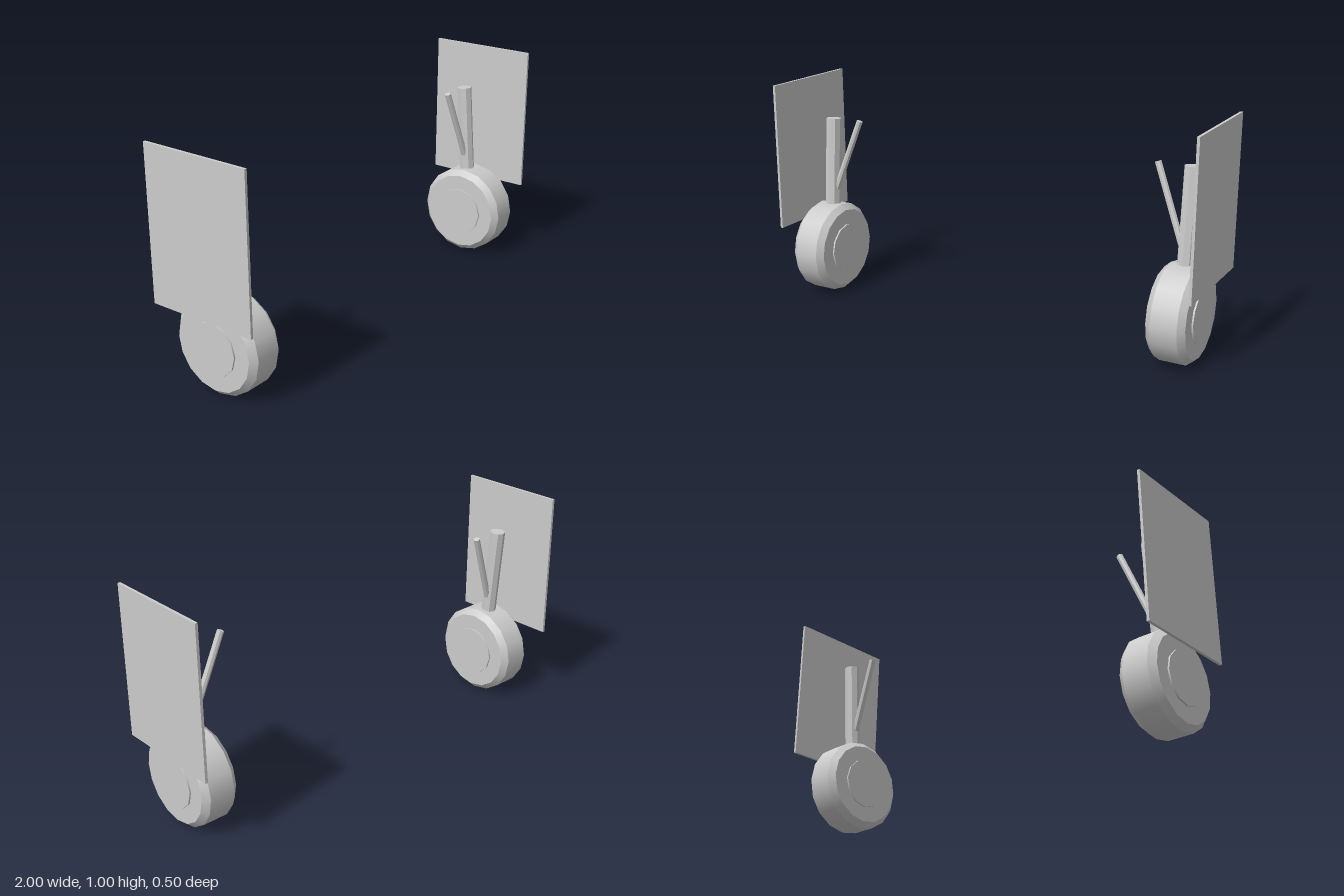
import * as THREE from 'three';

const grey = new THREE.MeshStandardMaterial({ color: 0xcccccc });
grey.name = 'light grey';

const WHEEL = { x: 0.88, y: 0.208, z: 0.02 };

function addMesh(parent, name, geometry) {
  const mesh = new THREE.Mesh(geometry, grey);
  mesh.name = name;
  parent.add(mesh);
  return mesh;
}

// faceted rod between two points
function rod(parent, name, from, to, radius, sides) {
  const a = new THREE.Vector3(...from);
  const b = new THREE.Vector3(...to);
  const dir = b.clone().sub(a);
  const geometry = new THREE.CylinderGeometry(radius, radius, dir.length(), sides).toNonIndexed();
  geometry.computeVertexNormals();
  const mesh = addMesh(parent, name, geometry);
  mesh.position.copy(a).add(b).multiplyScalar(0.5);
  mesh.quaternion.setFromUnitVectors(new THREE.Vector3(0, 1, 0), dir.normalize());
}

// tyre with chamfered shoulders, and a raised hub on both sides
function createWheel() {
  const wheel = new THREE.Group();
  wheel.name = 'wheel';
  const half = 0.084, tread = 0.057, outer = 0.208, face = 0.183;
  addMesh(wheel, 'tread', new THREE.CylinderGeometry(outer, outer, tread * 2, 16, 1, true));
  for (const s of [1, -1]) {
    const shoulder = addMesh(wheel, 'shoulder',
      new THREE.CylinderGeometry(s > 0 ? face : outer, s > 0 ? outer : face, half - tread, 16, 1, true));
    shoulder.position.y = s * (half + tread) / 2;
    const side = addMesh(wheel, 'sidewall', new THREE.CircleGeometry(face, 16).rotateX(-s * Math.PI / 2));
    side.position.y = s * half;
  }
  addMesh(wheel, 'hub', new THREE.CylinderGeometry(0.114, 0.114, 0.182, 12));
  wheel.rotation.z = Math.PI / 2;
  return wheel;
}

// one gear leg; s is +1 for the left, -1 for the right
function createLeg(s) {
  const leg = new THREE.Group();
  leg.name = s > 0 ? 'leftGear' : 'rightGear';
  const wheel = createWheel();
  wheel.position.set(s * WHEEL.x, WHEEL.y, WHEEL.z);
  leg.add(wheel);
  rod(leg, 'strut', [s * WHEEL.x, WHEEL.y, WHEEL.z], [s * 0.88, 0.815, -0.027], 0.035, 8);
  rod(leg, 'brace', [s * 0.88, 0.43, 0.003], [s * 0.733, 0.815, -0.027], 0.0145, 8);
  const door = addMesh(leg, 'door', new THREE.BoxGeometry(0.012, 0.665, 0.502));
  door.position.set(s * 0.994, 0.67, 0);
  return leg;
}

export function createModel() {
  const model = new THREE.Group();
  model.name = 'landingGear';
  for (const s of [1, -1]) model.add(createLeg(s));
  return model;
}
